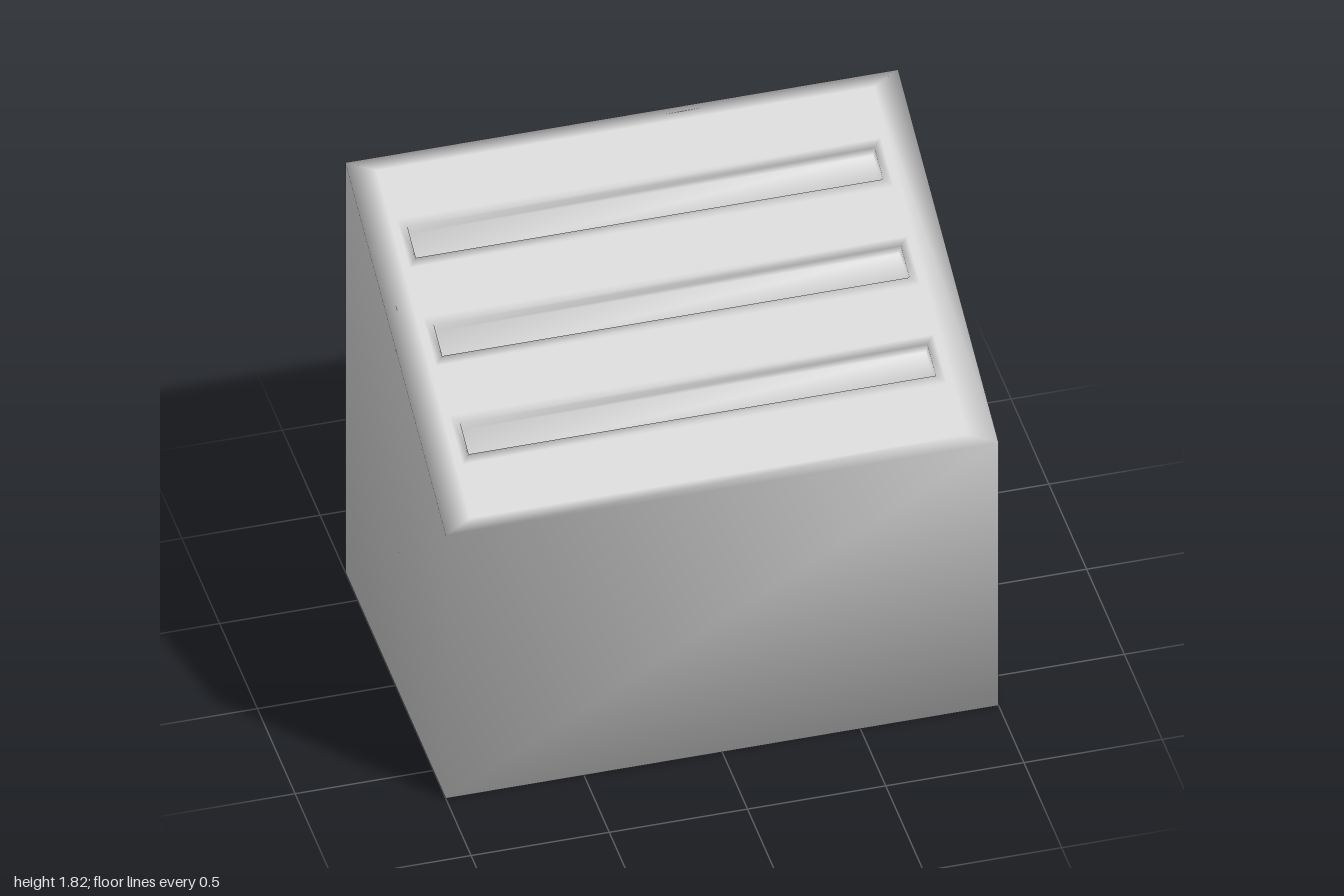
import * as THREE from 'three';
import { mergeVertices } from 'three/addons/utils/BufferGeometryUtils.js';

const HALF_W = 1, HALF_D = 0.665, FRONT_H = 1.165, BACK_H = 1.815;
const SLOPE = Math.atan2(BACK_H - FRONT_H, 2 * HALF_D);

// Point on the sloping top, sunk square to the slope by `sink`
function onTop(x, z, sink = 0) {
  const y = FRONT_H + (HALF_D - z) * Math.tan(SLOPE);
  return [x, y - sink * Math.cos(SLOPE), z - sink * Math.sin(SLOPE)];
}

// Rectangle of four points on the top, counter-clockwise from above
function topLoop(halfX, zBack, zFront, sink = 0) {
  return [[-halfX, zFront], [halfX, zFront], [halfX, zBack], [-halfX, zBack]]
    .map(([x, z]) => onTop(x, z, sink));
}

export function createModel() {
  const group = new THREE.Group();
  const positions = [];
  const quad = (a, b, c, d) => positions.push(...a, ...b, ...c, ...a, ...c, ...d);
  const band = (outer, inner) => {
    for (let i = 0; i < 4; i++) {
      const j = (i + 1) % 4;
      quad(outer[i], outer[j], inner[j], inner[i]);
    }
  };

  // Walls, base and the rim around the top panel
  const rim = topLoop(HALF_W, -HALF_D, HALF_D);
  const base = rim.map(([x, , z]) => [x, 0, z]);
  const panelX = 0.9, panelZ = 0.62;
  band(base, rim);
  quad(...base.slice().reverse());
  band(rim, topLoop(panelX, -panelZ, panelZ));

  // Flat panel with three long recessed slots
  const slotX = 0.845, slotHalf = 0.056, margin = 0.03, depth = 0.06;
  const frameX = slotX + margin;
  let zPrev = -panelZ;
  for (const z of [-0.355, -0.005, 0.345]) {
    const zb = z - slotHalf - margin, zf = z + slotHalf + margin;
    quad(...topLoop(panelX, zPrev, zb));
    for (const [x0, x1] of [[-panelX, -frameX], [frameX, panelX]]) {
      quad(onTop(x0, zf), onTop(x1, zf), onTop(x1, zb), onTop(x0, zb));
    }
    const lip = topLoop(slotX, z - slotHalf, z + slotHalf);
    const floor = topLoop(slotX, z - slotHalf, z + slotHalf, depth);
    band(topLoop(frameX, zb, zf), lip);
    band(lip, floor);
    quad(...floor);
    zPrev = zf;
  }
  quad(...topLoop(panelX, zPrev, panelZ));

  // Shared vertices give the soft shading across the corners
  const raw = new THREE.BufferGeometry();
  raw.setAttribute('position', new THREE.Float32BufferAttribute(positions, 3));
  const geometry = mergeVertices(raw, 1e-4);
  geometry.computeVertexNormals();

  const body = new THREE.Mesh(geometry, new THREE.MeshStandardMaterial({ color: 0xcccccc }));
  body.name = 'slottedWedgeBody';
  group.add(body);
  return group;
}
